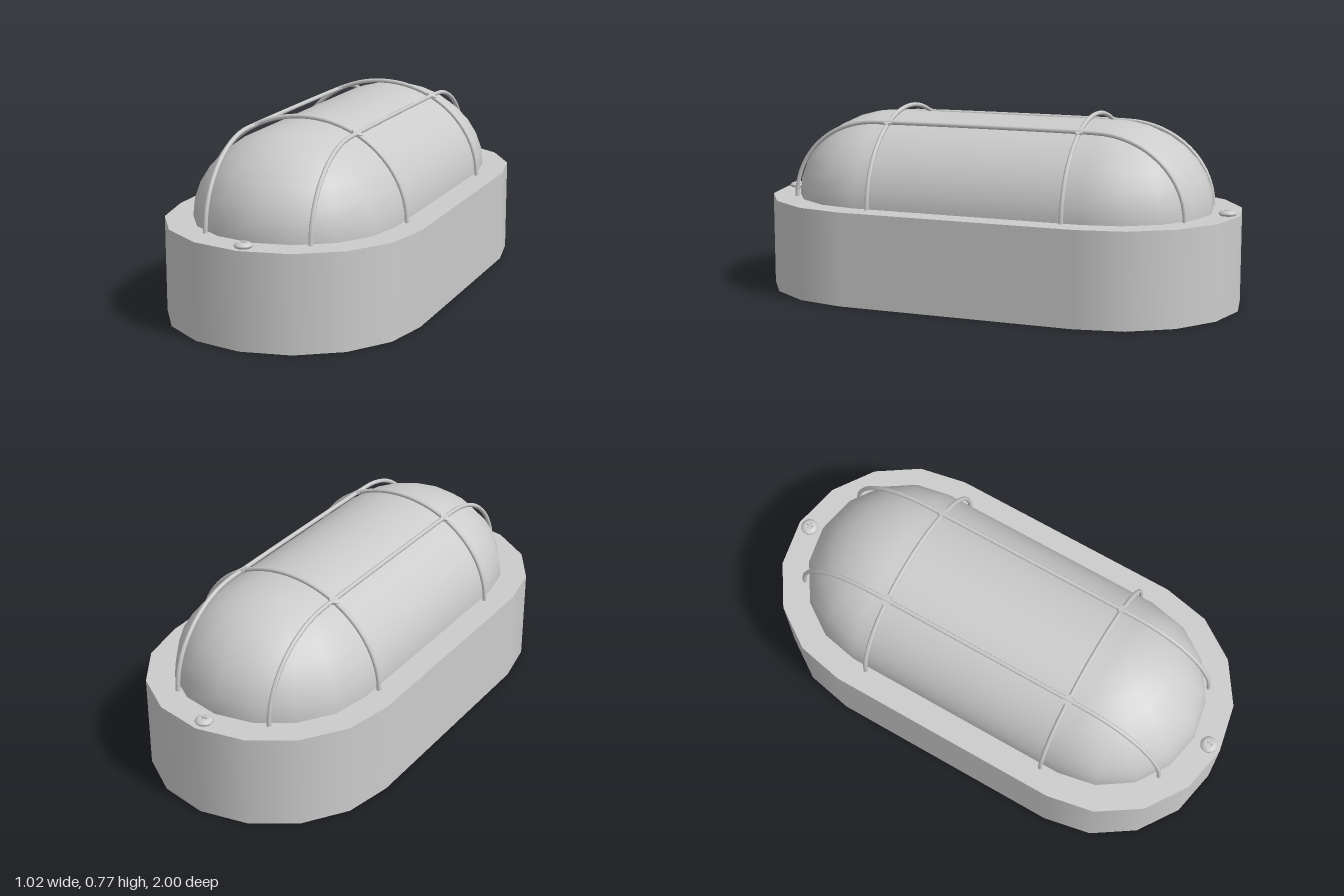
import * as THREE from 'three';

const BASE_TOP = 0.38;
const grey = new THREE.MeshStandardMaterial({ color: 0xcccccc });
const shell = new THREE.MeshStandardMaterial({ color: 0xcccccc, side: THREE.DoubleSide });

// Racetrack outline: two half circles of radius r, centred at z = +c and z = -c
function racetrack(r, c, steps = 8) {
  const points = [];
  for (const half of [0, 1]) {
    for (let i = 0; i <= steps; i++) {
      const a = Math.PI * (half + i / steps);
      const dx = Math.cos(a), dz = Math.sin(a);
      points.push({ x: r * dx, z: r * dz + (half ? -c : c), dx, dz });
    }
  }
  return points;
}

// Skin over stacked racetracks; each row is { r, y, nr, ny } with its normal slope
function loft(rows, c) {
  const positions = [], normals = [], index = [];
  const n = racetrack(1, c).length;
  rows.forEach(({ r, y, nr, ny }, k) => {
    for (const p of racetrack(r, c)) {
      positions.push(p.x, y, p.z);
      const v = new THREE.Vector3(p.dx * nr, ny, p.dz * nr).normalize();
      normals.push(v.x, v.y, v.z);
    }
    if (k === 0) return;
    for (let j = 0; j < n; j++) {
      const a = (k - 1) * n + j, b = (k - 1) * n + (j + 1) % n;
      index.push(a, a + n, b, b, a + n, b + n);
    }
  });
  const geometry = new THREE.BufferGeometry();
  geometry.setAttribute('position', new THREE.Float32BufferAttribute(positions, 3));
  geometry.setAttribute('normal', new THREE.Float32BufferAttribute(normals, 3));
  geometry.setIndex(index);
  return geometry;
}

function add(parent, name, geometry, material = grey) {
  const mesh = new THREE.Mesh(geometry, material);
  mesh.name = name;
  parent.add(mesh);
  return mesh;
}

// Arched wire: quarter ellipses of a by b, spread apart by a straight run of half length c
function archedWire(a, b, c) {
  const points = [];
  for (const side of [1, -1]) {
    for (let i = 0; i <= 12; i++) {
      if (side < 0 && i === 0 && c === 0) continue;
      const t = (Math.PI / 2) * (side > 0 ? i / 12 : 1 - i / 12);
      points.push(new THREE.Vector3(side * (c + a * Math.cos(t)), BASE_TOP + b * Math.sin(t), 0));
    }
  }
  return new THREE.TubeGeometry(new THREE.CatmullRomCurve3(points), 56, 0.009, 8);
}

// Domed screw head with a cross recess
function makeScrew() {
  const screw = new THREE.Group();
  const profile = [[0.026, -0.004], [0.035, 0.006], [0.034, 0.011], [0.027, 0.017], [0.02, 0.02]];
  add(screw, 'screwHead', new THREE.LatheGeometry(profile.map(p => new THREE.Vector2(...p)), 20));
  const cap = new THREE.Shape().absarc(0, 0, 0.02, 0, Math.PI * 2);
  const w = 0.003, l = 0.014;
  cap.holes.push(new THREE.Path([
    [w, w], [w, l], [-w, l], [-w, w], [-l, w], [-l, -w],
    [-w, -w], [-w, -l], [w, -l], [w, -w], [l, -w], [l, w],
  ].map(p => new THREE.Vector2(...p))));
  const capGeometry = new THREE.ExtrudeGeometry(cap, { depth: 0.01, bevelEnabled: false, curveSegments: 10 });
  add(screw, 'screwCrossRecess', capGeometry.rotateX(-Math.PI / 2).translate(0, 0.01, 0));
  add(screw, 'screwRecessFloor', new THREE.CircleGeometry(0.02, 20).rotateX(-Math.PI / 2).translate(0, 0.01, 0));
  return screw;
}

export function createModel() {
  const model = new THREE.Group();
  model.name = 'bulkheadLamp';

  // Hollow housing: thin wall, open underneath, and a flat rim around the lens
  const housing = new THREE.Group();
  housing.name = 'housing';
  model.add(housing);
  add(housing, 'housingWall', loft([
    { r: 0.51, y: 0, nr: 1, ny: 0 },
    { r: 0.51, y: BASE_TOP, nr: 1, ny: 0 },
  ], 0.49), shell);
  const flat = (r, c) => racetrack(r, c).map(p => new THREE.Vector2(p.x, p.z));
  const rim = new THREE.Shape(flat(0.51, 0.49));
  rim.holes.push(new THREE.Path(flat(0.405, 0.48)));
  add(housing, 'housingRim',
    new THREE.ShapeGeometry(rim).rotateX(-Math.PI / 2).translate(0, BASE_TOP, 0), shell);

  // Domed lens, elliptical in section
  const rows = [];
  for (let k = 0; k <= 8; k++) {
    const t = (k / 8) * Math.PI / 2;
    rows.push({
      r: 0.405 * Math.cos(t), y: BASE_TOP + 0.353 * Math.sin(t),
      nr: Math.cos(t) / 0.405, ny: Math.sin(t) / 0.353,
    });
  }
  add(model, 'lens', loft(rows, 0.48), shell);

  // Wire guard: two hoops across, two long wires, a small web at each crossing
  const guard = new THREE.Group();
  guard.name = 'wireGuard';
  model.add(guard);
  const hoop = archedWire(0.422, 0.377, 0);
  const longWire = archedWire(0.367, 0.327, 0.47).rotateY(Math.PI / 2);
  const web = new THREE.CylinderGeometry(0.026, 0.026, 0.012, 4);
  for (const s of [1, -1]) {
    add(guard, 'crossHoop', hoop).position.z = s * 0.41;
    add(guard, 'longWire', longWire).position.x = s * 0.214;
    for (const e of [1, -1]) {
      const joint = add(guard, 'crossingWeb', web);
      joint.position.set(s * 0.214, 0.708, e * 0.41);
      joint.rotation.z = -s * 0.47;
    }
  }

  // Fixing screws at both ends of the rim
  for (const s of [1, -1]) {
    const screw = makeScrew();
    screw.name = s > 0 ? 'frontScrew' : 'backScrew';
    screw.position.set(0, BASE_TOP, s * 0.95);
    model.add(screw);
  }
  return model;
}
